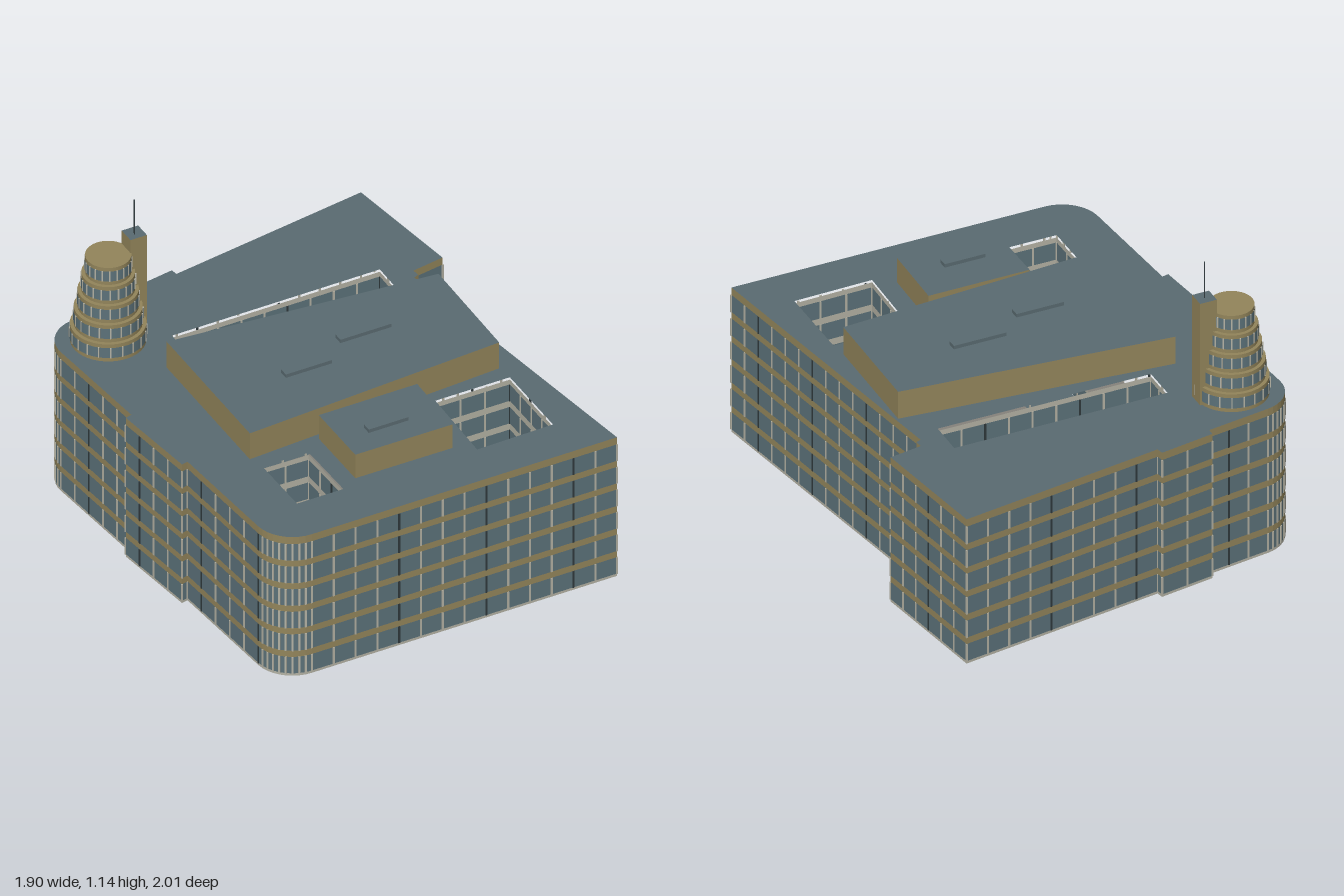
import * as THREE from 'three';
import { mergeGeometries } from 'three/addons/utils/BufferGeometryUtils.js';

const mat = (name, color, side = THREE.FrontSide) => {
  const m = new THREE.MeshStandardMaterial({ color, side });
  m.name = name;
  return m;
};

export function createModel() {
  const slate = mat('slate roof', 0x5a6b71);
  const glass = mat('window glass', 0x5c727a);
  const tan = mat('tan cladding', 0x93855b);
  const pale = mat('pale frame', 0xb4b2a4);
  const dark = mat('dark frame', 0x2f393c);
  const stone = mat('grey base', 0x86837c);

  const model = new THREE.Group();
  model.name = 'officeBuilding';
  const add = (name, geo, material, parent = model) => {
    const m = new THREE.Mesh(geo, material);
    m.name = name;
    parent.add(m);
    return m;
  };

  // ---- plan helpers: points are [x, z], clockwise seen from above
  const arc = (cx, cz, r, from, to, n) => Array.from({ length: n + 1 }, (_, i) => {
    const a = THREE.MathUtils.degToRad(from + (to - from) * i / n);
    return [cx + r * Math.cos(a), cz + r * Math.sin(a)];
  });
  const toVec = pts => pts.map(([x, z]) => new THREE.Vector2(x, -z));
  const prism = (pts, y0, y1, holes = []) => {
    const shape = new THREE.Shape(toVec(pts));
    holes.forEach(h => shape.holes.push(new THREE.Path(toVec(h))));
    return new THREE.ExtrudeGeometry(shape, { depth: y1 - y0, bevelEnabled: false })
      .rotateX(-Math.PI / 2).translate(0, y0, 0);
  };
  // Upright wall strip around a closed plan
  const ribbon = (pts, y0, y1) => {
    const p = [];
    pts.forEach(([ax, az], i) => {
      const [bx, bz] = pts[(i + 1) % pts.length];
      p.push(bx, y0, bz, ax, y0, az, ax, y1, az, bx, y0, bz, ax, y1, az, bx, y1, bz);
    });
    const g = new THREE.BufferGeometry();
    g.setAttribute('position', new THREE.Float32BufferAttribute(p, 3));
    g.computeVertexNormals();
    return g;
  };

  const outline = [
    [0.16, -1], [0.415, -0.6], [0.31, -0.53], [0.325, -0.505], [0.31, -0.49], [0.945, 0.49],
    ...arc(-0.2, 0.86, 0.14, 65, 150, 9),
    [-0.54, 0.535], [-0.56, 0.55], [-0.735, 0.265], [-0.715, 0.248],
    ...arc(-0.815, -0.2, 0.135, 150, 237, 9),
    [-0.685, -0.445], [-0.695, -0.47], [-0.52, -0.587], [-0.505, -0.565],
  ];
  const courts = [
    [[-0.545, -0.205], [0.195, -0.545], [0.25, -0.42], [-0.49, -0.085]],
    [[0.335, 0.235], [0.6, 0.115], [0.73, 0.4], [0.46, 0.53]],
    [[-0.285, 0.58], [-0.12, 0.51], [-0.015, 0.73], [-0.18, 0.805]],
  ];

  // ---- six storeys: glass strip, then cladding strip
  const top = 0.59, pitch = 0.096, glassH = 0.07, floors = 6;
  const facade = (name, pts, bandMat) => {
    const g = new THREE.Group();
    g.name = name;
    model.add(g);
    const panes = [], bands = [], bars = [[], []];
    for (let f = 0; f < floors; f++) {
      const y0 = 0.01 + f * pitch, y1 = y0 + glassH;
      const yTop = f === floors - 1 ? top - 0.01 : y0 + pitch;
      panes.push(ribbon(pts, y0, y1));
      bands.push(ribbon(pts, y1, yTop));
      let count = 0;
      pts.forEach(([ax, az], i) => {
        const [bx, bz] = pts[(i + 1) % pts.length];
        const len = Math.hypot(bx - ax, bz - az);
        const n = Math.max(1, Math.round(len / 0.086));
        for (let k = 0; k < n; k++) {
          const t = k / n;
          const isDark = len > 0.1 && ++count % 4 === 0;
          bars[isDark ? 1 : 0].push(new THREE.BoxGeometry(0.007, glassH, 0.005)
            .rotateY(-Math.atan2(bz - az, bx - ax))
            .translate(ax + (bx - ax) * t, (y0 + y1) / 2, az + (bz - az) * t));
        }
      });
    }
    add('windowStrips', mergeGeometries(panes), glass, g);
    add('claddingBands', mergeGeometries(bands), bandMat, g);
    add('mullions', mergeGeometries(bars[0]), pale, g);
    if (bars[1].length) add('darkMullions', mergeGeometries(bars[1]), dark, g);
  };
  facade('outerFacade', outline, tan);
  courts.forEach((c, i) => {
    facade('courtyardFacade' + (i + 1), [...c].reverse(), pale);
    add('courtyardFloor' + (i + 1), prism(c, 0, 0.008), slate);
  });
  add('baseSlab', prism(outline, 0, 0.01, courts), [stone, pale]);
  add('roof', prism(outline, top - 0.01, top, courts), [slate, tan]);

  // ---- rooftop blocks and their vents
  add('mainPenthouse', prism([[-0.575, -0.02], [0.385, -0.355], [0.567, 0.06], [-0.325, 0.535]],
    top, 0.7), [slate, tan]);
  add('frontPenthouse', prism([[-0.08, 0.43], [0.27, 0.27], [0.375, 0.515], [0.03, 0.67]],
    top, 0.69), [slate, tan]);
  const turn = THREE.MathUtils.degToRad(24.5);
  [[-0.105, 0.165, 0.7, 0.18], [0.105, -0.03, 0.7, 0.2], [0.148, 0.497, 0.69, 0.155]]
    .forEach(([x, z, y, len], i) => {
      const vent = add('roofVent' + (i + 1), new THREE.BoxGeometry(len, 0.014, 0.036), slate);
      vent.position.set(x, y + 0.007, z);
      vent.rotation.y = turn;
    });

  // ---- stepped round corner tower
  const tower = new THREE.Group();
  tower.name = 'cornerTower';
  tower.position.set(-0.765, top, -0.2);
  model.add(tower);
  const tierH = 0.072, paneH = 0.042;
  [0.132, 0.119, 0.106, 0.093, 0.08].forEach((r, i) => {
    const y = i * tierH;
    const paneY = y + tierH - 0.014 - paneH / 2;
    add('tier' + (i + 1), new THREE.CylinderGeometry(r, r, tierH, 40)
      .translate(0, y + tierH / 2, 0), tan, tower);
    add('tierWindows' + (i + 1), new THREE.CylinderGeometry(r + 0.002, r + 0.002, paneH, 40, 1, true)
      .translate(0, paneY, 0), glass, tower);
    const bars = [];
    for (let k = 0; k < 20; k++) {
      bars.push(new THREE.BoxGeometry(0.005, paneH, 0.004).translate(0, paneY, r + 0.002)
        .rotateY(k * Math.PI / 10));
    }
    add('tierMullions' + (i + 1), mergeGeometries(bars), pale, tower);
  });

  // ---- square lift shaft and mast beside the tower
  const shaft = add('liftShaft', new THREE.BoxGeometry(0.064, 0.415, 0.064),
    [tan, tan, slate, tan, tan, tan]);
  shaft.position.set(-0.672, top + 0.2075, -0.245);
  shaft.rotation.y = turn;
  add('mast', new THREE.BoxGeometry(0.004, 0.14, 0.014), dark).position.set(-0.672, 1.075, -0.241);

  return model;
}
